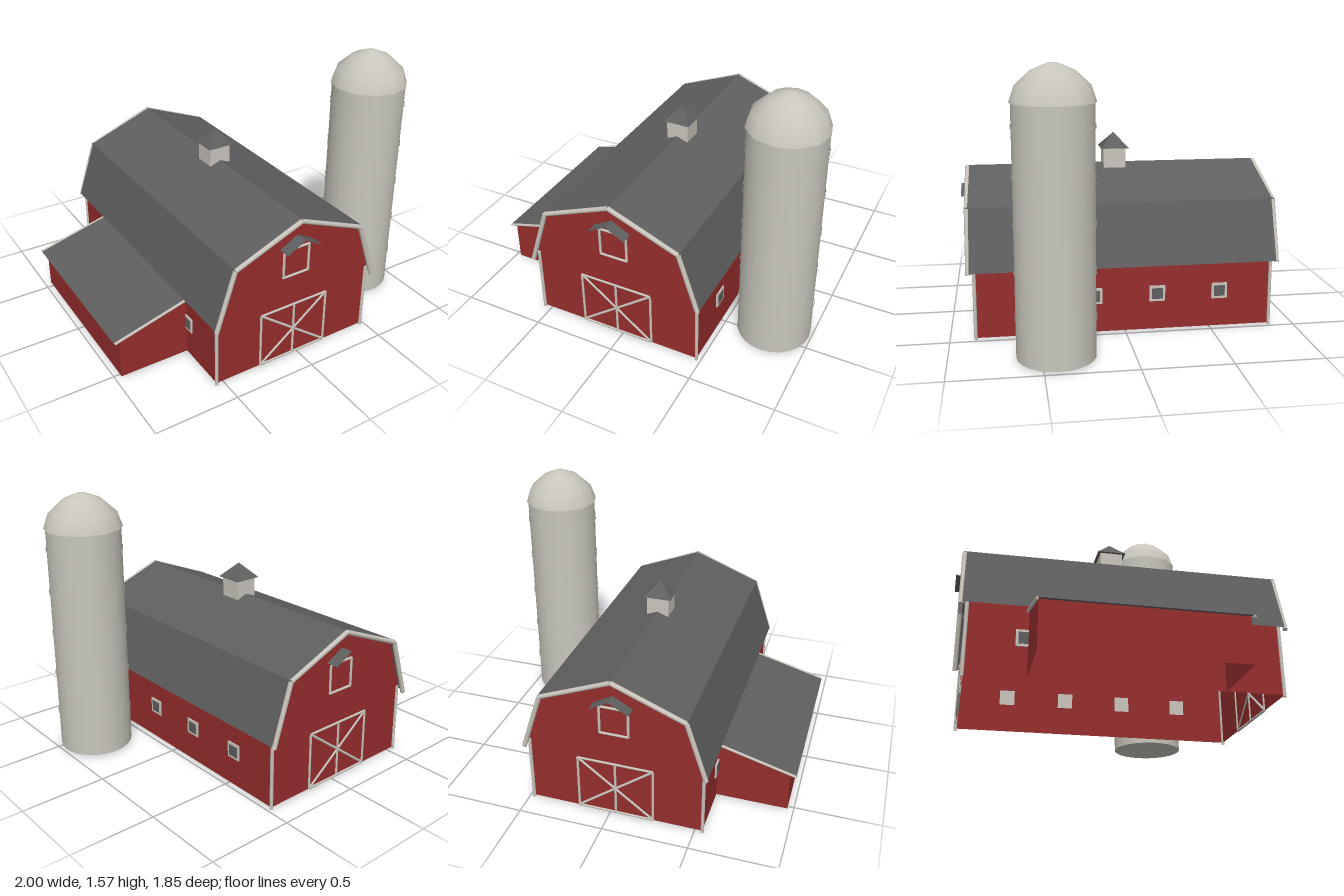
import * as THREE from 'three';

const mat = (name, color, double) => {
  const m = new THREE.MeshStandardMaterial({ color });
  m.name = name;
  if (double) m.side = THREE.DoubleSide;
  return m;
};

export function createModel() {
  const red = mat('barnRed', 0x962d2d, true);
  const roofGrey = mat('roofGrey', 0x5f5f5f, true);
  const trimWhite = mat('trimWhite', 0xcac5bd);
  const siloGrey = mat('siloGrey', 0xc8c6bc, true);

  const model = new THREE.Group();
  model.name = 'barnWithSilo';

  const add = (parent, name, geo, material, x = 0, y = 0, z = 0) => {
    const mesh = new THREE.Mesh(geo, material);
    mesh.name = name;
    mesh.position.set(x, y, z);
    parent.add(mesh);
    return mesh;
  };

  // Round strip between two points
  const strip = (parent, name, a, b, r) => {
    const p = new THREE.Vector3(...a), q = new THREE.Vector3(...b);
    const d = q.clone().sub(p);
    const mesh = add(parent, name, new THREE.CylinderGeometry(r, r, d.length(), 8), trimWhite);
    mesh.position.copy(p).add(q).multiplyScalar(0.5);
    mesh.quaternion.setFromUnitVectors(new THREE.Vector3(0, 1, 0), d.normalize());
  };

  const strips = (parent, name, pts, z, r) => {
    for (let i = 0; i + 1 < pts.length; i++) strip(parent, name, [...pts[i], z], [...pts[i + 1], z], r);
  };

  // Flat polygon in the xy plane
  const panel = (parent, name, pts, material, z) =>
    add(parent, name, new THREE.ShapeGeometry(new THREE.Shape(pts.map(p => new THREE.Vector2(...p)))), material, 0, 0, z);

  // Folded sheet: a polyline in xy stretched along z
  const sheet = (parent, name, pts, z0, z1, material) => {
    const v = [];
    for (let i = 0; i + 1 < pts.length; i++) {
      const [a, b] = [pts[i], pts[i + 1]];
      v.push(...a, z0, ...a, z1, ...b, z1, ...a, z0, ...b, z1, ...b, z0);
    }
    const geo = new THREE.BufferGeometry();
    geo.setAttribute('position', new THREE.Float32BufferAttribute(v, 3));
    geo.computeVertexNormals();
    return add(parent, name, geo, material);
  };

  // Main barn, centred on its own ridge
  const barn = new THREE.Group();
  barn.name = 'barn';
  barn.position.x = -0.035;
  model.add(barn);
  const W = 0.51, D = 0.855, base = 0.01;
  const roofLine = [[-0.538, 0.395], [-0.422, 0.745], [0, 0.912], [0.422, 0.745], [0.538, 0.395]];
  sheet(barn, 'roof', roofLine, -0.89, 0.89, roofGrey);
  const gable = [[-W, base], [W, base], [W, 0.465], [0.416, 0.738], [0, 0.903], [-0.416, 0.738], [-W, 0.465]];

  for (const s of [-1, 1]) {
    sheet(barn, 'sideWall', [[s * W, base], [s * W, 0.465]], -D, D, red);

    // Side windows
    for (const z of [-0.55, -0.183, 0.183, 0.55]) {
      add(barn, 'windowFrame', new THREE.BoxGeometry(0.009, 0.092, 0.092), trimWhite, s * (W + 0.004), 0.225, z);
      add(barn, 'windowPane', new THREE.BoxGeometry(0.009, 0.064, 0.064), roofGrey, s * (W + 0.006), 0.225, z);
    }

    // Gable end, the same at front and back
    const end = new THREE.Group();
    end.name = s > 0 ? 'frontEnd' : 'backEnd';
    if (s < 0) end.rotation.y = Math.PI;
    barn.add(end);
    panel(end, 'gableWall', gable, red, D);
    const edge = roofLine.map(([x, y]) => [x * 0.983, y - 0.01]);
    strips(end, 'roofTrim', edge, 0.887, 0.014);
    for (const x of [-W, W]) strip(end, 'cornerPost', [x, 0, D], [x, 0.42, D], 0.01);

    // Barn door with cross braces
    const dx = 0.222, y0 = 0.012, y1 = 0.35, r = 0.0075;
    strips(end, 'doorFrame', [[-dx, y0], [dx, y0], [dx, y1], [-dx, y1], [-dx, y0]], D, r);
    strips(end, 'doorBrace', [[-dx, y0], [dx, y1]], D, r);
    strips(end, 'doorBrace', [[-dx, y1], [dx, y0]], D, r);
    strips(end, 'doorMiddle', [[0, y0], [0, y1]], D, r);

    // Hay door and its little hood
    const hx = 0.083;
    strips(end, 'hayDoorFrame', [[-hx, 0.552], [hx, 0.552], [hx, 0.722], [-hx, 0.722], [-hx, 0.552]], D, 0.008);
    sheet(end, 'hayDoorHood', [[-0.112, 0.742], [0, 0.803], [0.112, 0.742]], D, 0.927, roofGrey);
  }

  // Cupola
  add(barn, 'cupolaBox', new THREE.BoxGeometry(0.135, 0.16, 0.135), trimWhite, 0, 0.925, 0);
  const cap = new THREE.ConeGeometry(0.085 * Math.SQRT2, 0.09, 4, 1).toNonIndexed();
  cap.rotateY(Math.PI / 4);
  cap.computeVertexNormals();
  add(barn, 'cupolaRoof', cap, roofGrey, 0, 1.05, 0);

  // Lean-to shed
  const shed = new THREE.Group();
  shed.name = 'leanTo';
  model.add(shed);
  const slope = [[-1, 0.257], [-0.545, 0.381]];
  const sx = -0.965, sz = 0.53;
  sheet(shed, 'shedRoof', slope, -0.545, 0.545, roofGrey);
  sheet(shed, 'shedSideWall', [[sx, base], [sx, 0.265]], -sz, sz, red);
  for (const s of [-1, 1]) {
    panel(shed, 'shedEndWall', [[sx, base], [-0.545, base], [-0.545, 0.378], [sx, 0.264]], red, s * sz);
    strips(shed, 'shedRoofTrim', slope.map(([x, y]) => [x + 0.004, y - 0.002]), s * 0.54, 0.008);
  }

  // Silo
  const silo = new THREE.Group();
  silo.name = 'silo';
  silo.position.set(0.775, 0, 0.422);
  model.add(silo);
  add(silo, 'siloWall', new THREE.CylinderGeometry(0.215, 0.215, 1.36, 24), siloGrey, 0, 0.69, 0);
  for (const y of [0.23, 0.483, 0.737, 0.99, 1.245])
    add(silo, 'siloBand', new THREE.CylinderGeometry(0.22, 0.22, 0.018, 24, 1, true), siloGrey, 0, y, 0);
  const dome = [[0.225, 1.365], [0.195, 1.453], [0.113, 1.528], [0.025, 1.564], [0, 1.566]];
  add(silo, 'siloDome', new THREE.LatheGeometry(dome.map(p => new THREE.Vector2(...p)), 12), siloGrey);

  return model;
}
